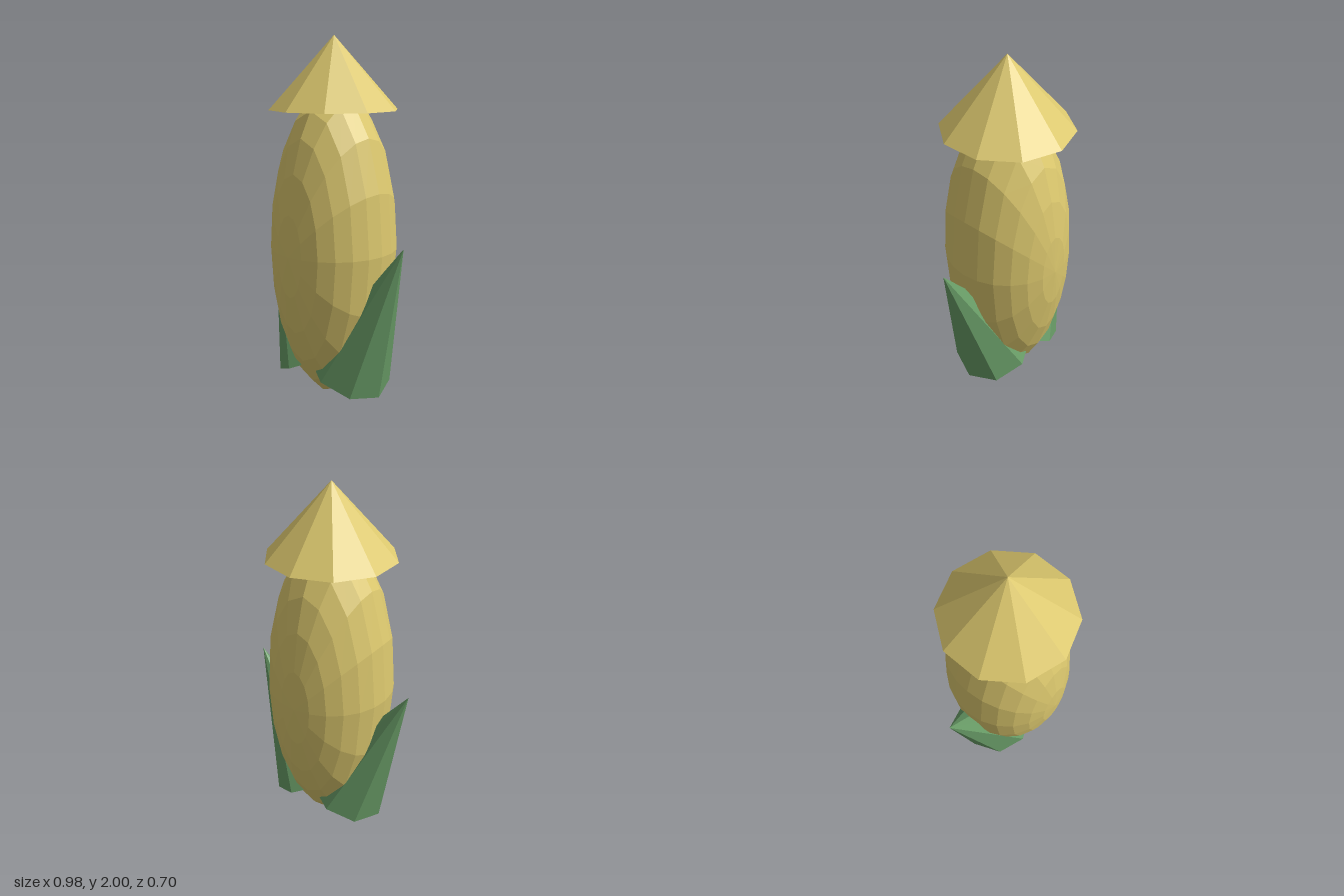
import * as THREE from 'three';

export function createModel() {
  const group = new THREE.Group();
  const yellow = new THREE.MeshStandardMaterial({ name: 'corn yellow', color: 0xdcc86e, flatShading: true });
  const green = new THREE.MeshStandardMaterial({ name: 'husk green', color: 0x6a9e68, flatShading: true });

  const add = (name, geometry, material) => {
    const mesh = new THREE.Mesh(geometry, material);
    mesh.name = name;
    group.add(mesh);
    return mesh;
  };

  // Stretched faceted body, with the sphere's poles at front and back
  const bodyGeometry = new THREE.SphereGeometry(0.35, 16, 12).rotateX(Math.PI / 2).scale(1, 0.866 / 0.35, 1);
  add('body', bodyGeometry, yellow).position.y = 0.866;

  // Pointed cap
  const capHeight = 0.385;
  add('cap', new THREE.ConeGeometry(0.35, capHeight, 10), yellow).position.y = 2 - capHeight / 2;

  // Husk leaves: cones leaning outwards, their inner halves sunk in the body
  const leafHeight = 0.852;
  for (const side of [1, -1]) {
    const leaf = add(side > 0 ? 'leftLeaf' : 'rightLeaf',
      new THREE.ConeGeometry(0.237, leafHeight, 8), green);
    leaf.position.set(side * 0.308, 0.55, 0);
    leaf.rotation.z = -side * 0.44;
  }

  return group;
}
